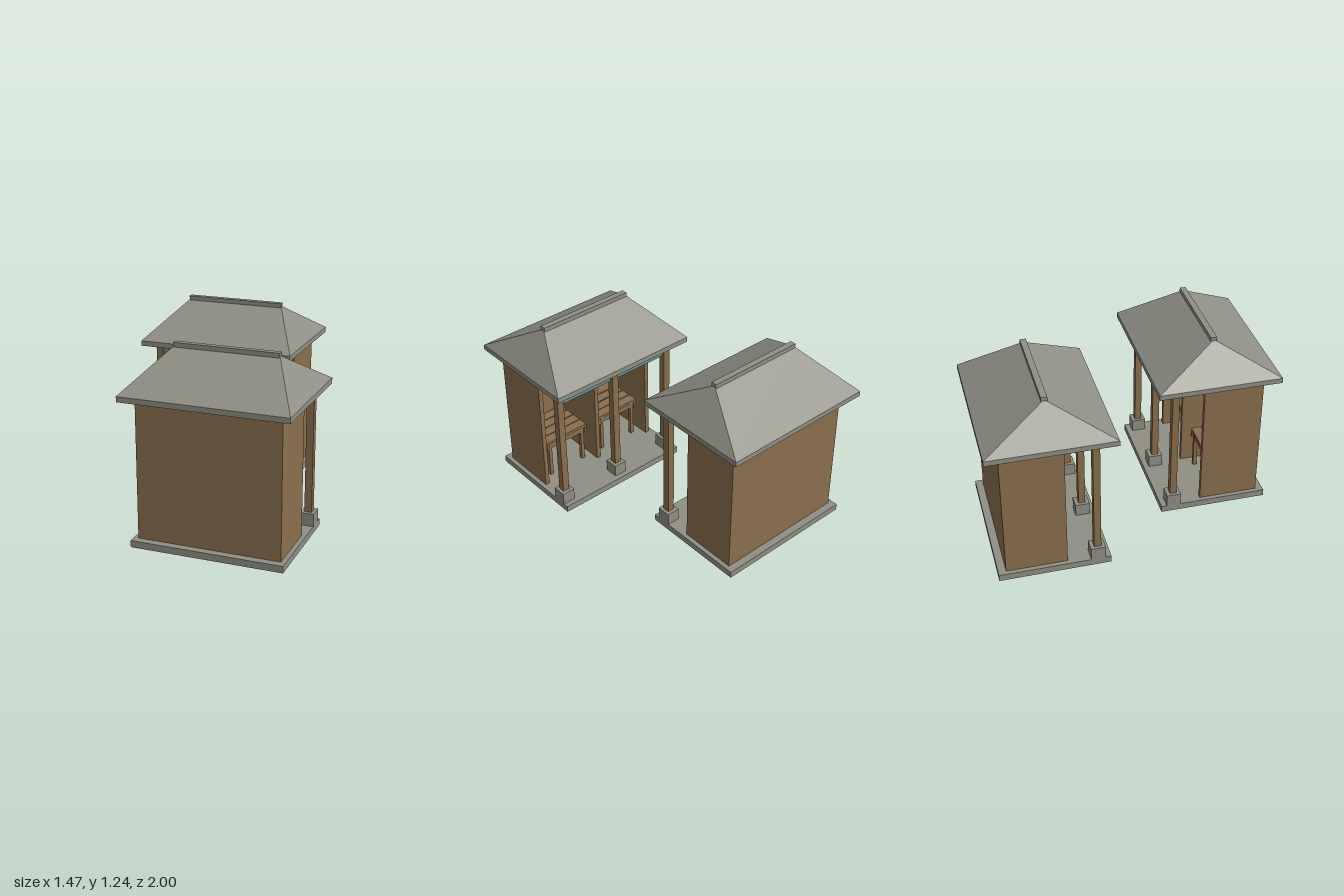
import * as THREE from 'three';

const mat = (name, color) => {
  const m = new THREE.MeshStandardMaterial({ color });
  m.name = name;
  return m;
};

export function createModel() {
  const stone = mat('grey stone', 0x8f8f85);
  const wood = mat('brown timber', 0x8b6f4e);
  const glass = mat('teal panel', 0x659499);
  const plaster = mat('pale ceiling', 0xc4c4bc);

  // Box given by its limits on each axis
  function box(parent, name, m, [x0, x1], [y0, y1], [z0, z1]) {
    const mesh = new THREE.Mesh(new THREE.BoxGeometry(x1 - x0, y1 - y0, z1 - z0), m);
    mesh.position.set((x0 + x1) / 2, (y0 + y1) / 2, (z0 + z1) / 2);
    mesh.name = name;
    parent.add(mesh);
    return mesh;
  }

  // Hipped roof: a box whose top is drawn in to the ridge
  function hipRoof(parent) {
    const geo = new THREE.BoxGeometry(1.08, 0.225, 0.82).toNonIndexed();
    const p = geo.attributes.position;
    for (let i = 0; i < p.count; i++) {
      if (p.getY(i) > 0) {
        p.setX(i, Math.sign(p.getX(i)) * 0.34);
        p.setZ(i, Math.sign(p.getZ(i)) * 0.012);
      }
    }
    geo.computeVertexNormals();
    const roof = new THREE.Mesh(geo, stone);
    roof.position.y = 0.985 + 0.1125;
    roof.name = 'hipRoof';
    parent.add(roof);
  }

  // Diagonal brace between a post and the lintel; side is +1 or -1
  function brace(parent, x, side) {
    const pts = [[0, 0.845], [0.08, 0.92], [0.05, 0.92], [0, 0.875]];
    if (side < 0) pts.reverse();
    const shape = new THREE.Shape(pts.map(([a, b]) => new THREE.Vector2(x + side * a, b)));
    const mesh = new THREE.Mesh(
      new THREE.ExtrudeGeometry(shape, { depth: 0.026, bevelEnabled: false }), wood);
    mesh.position.z = 0.267;
    mesh.name = 'brace';
    parent.add(mesh);
  }

  // Slatted bench centred on x
  function bench(parent, x) {
    const g = new THREE.Group();
    g.name = 'bench';
    const front = 0.03, back = -0.27, n = 4, step = (front - back) / n;
    for (let i = 0; i < n; i++) {
      const z = back + i * step;
      box(g, 'seatSlat', wood, [-0.17, 0.17], [0.315, 0.335], [z + 0.004, z + step - 0.004]);
    }
    for (const z of [front - 0.035, back + 0.01])
      box(g, 'longRail', wood, [-0.15, 0.15], [0.27, 0.315], [z, z + 0.022]);
    for (const s of [-1, 1]) {
      const lx = s * 0.1375;
      box(g, 'endRail', wood, [s * 0.16 - 0.01, s * 0.16 + 0.01], [0.27, 0.315], [back, front]);
      for (const z of [front - 0.037, back + 0.008])
        box(g, 'leg', wood, [lx - 0.0125, lx + 0.0125], [0.045, 0.315], [z, z + 0.026]);
    }
    g.position.x = x;
    parent.add(g);
  }

  // One pavilion, open towards +z
  function pavilion(name) {
    const g = new THREE.Group();
    g.name = name;
    box(g, 'baseSlab', stone, [-0.495, 0.495], [0, 0.045], [-0.365, 0.365]);

    // Back wall, side walls and middle partition
    box(g, 'backWall', wood, [-0.465, 0.465], [0.045, 0.95], [-0.315, -0.285]);
    for (const x of [-0.45, 0, 0.45])
      box(g, x ? 'sideWall' : 'partition', wood,
        [x - 0.015, x + 0.015], [0.045, 0.95], [-0.285, 0.085]);

    // Front posts on plinths, carrying the lintel
    for (const x of [-0.45, 0, 0.45]) {
      box(g, 'plinth', stone, [x - 0.045, x + 0.045], [0.045, 0.13], [0.232, 0.328]);
      box(g, 'post', wood, [x - 0.024, x + 0.024], [0.13, 0.92], [0.257, 0.303]);
      if (x < 0.4) brace(g, x + 0.024, 1);
      if (x > -0.4) brace(g, x - 0.024, -1);
    }
    box(g, 'lintel', wood, [-0.485, 0.485], [0.92, 0.95], [0.252, 0.308]);

    // Each bay has a hanging panel and a bench
    for (const x of [-0.225, 0.225]) {
      box(g, 'hangingPanel', glass, [x - 0.201, x + 0.201], [0.82, 0.92], [0.276, 0.284]);
      bench(g, x);
    }

    // Ceiling, eaves, roof and ridge
    box(g, 'ceiling', plaster, [-0.435, 0.435], [0.944, 0.95], [-0.285, 0.252]);
    box(g, 'eaves', stone, [-0.54, 0.54], [0.95, 0.985], [-0.41, 0.41]);
    hipRoof(g);
    box(g, 'ridgeCap', stone, [-0.34, 0.34], [1.198, 1.235], [-0.02, 0.02]);
    return g;
  }

  // Two pavilions facing each other, offset sideways
  const model = new THREE.Group();
  model.name = 'facingPavilions';
  const rear = pavilion('rearPavilion');
  rear.position.set(-0.197, 0, -0.59);
  const front = pavilion('frontPavilion');
  front.position.set(0.197, 0, 0.59);
  front.rotation.y = Math.PI;
  model.add(rear, front);
  return model;
}
